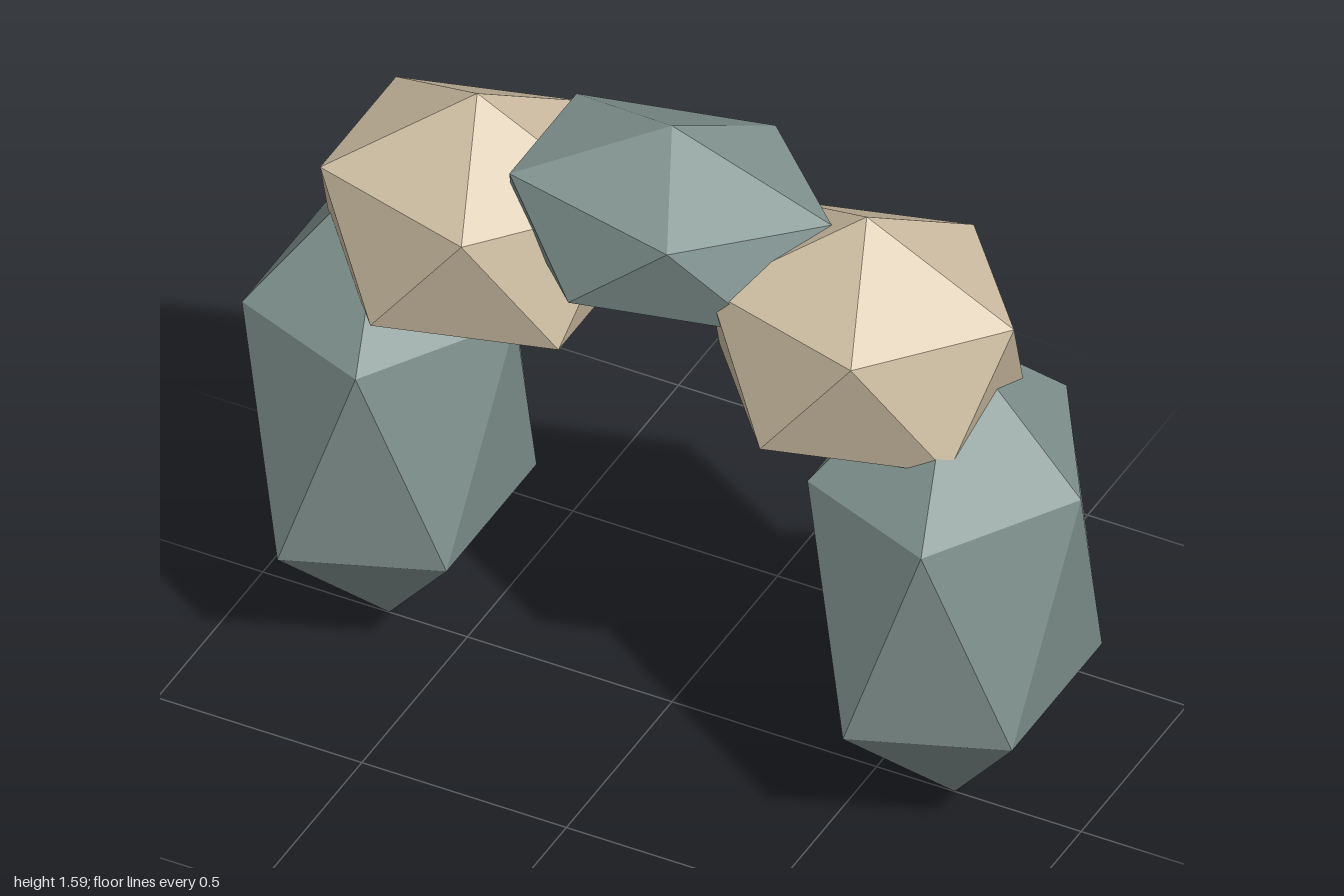
import * as THREE from 'three';

const GOLDEN = (1 + Math.sqrt(5)) / 2;

export function createModel() {
  const slate = new THREE.MeshStandardMaterial({ color: 0x829491 });
  slate.name = 'slateStone';
  const sand = new THREE.MeshStandardMaterial({ color: 0xd0c0a5 });
  sand.name = 'sandStone';

  const arch = new THREE.Group();
  arch.name = 'stoneArch';

  // A stretched icosahedron standing on one tip, its upper ring pointing to +x
  function addStone(name, material, [x, y], [rx, ry, rz]) {
    const ring = 2 / Math.sqrt(5); // ring radius of a unit icosahedron
    const geometry = new THREE.IcosahedronGeometry(1, 0);
    geometry.rotateZ(-Math.atan(1 / GOLDEN));
    geometry.scale(rx / ring, ry, rz / ring);
    geometry.computeVertexNormals();
    const mesh = new THREE.Mesh(geometry, material);
    mesh.name = name;
    mesh.position.set(x, y, 0);
    arch.add(mesh);
  }

  // Pillars and shoulder stones on both sides
  for (const [side, s] of [['left', 1], ['right', -1]]) {
    addStone(side + 'Pillar', slate, [s * 0.691, 0.631], [0.309, 0.631, 0.363]);
    addStone(side + 'Shoulder', sand, [s * 0.476, 1.175], [0.36, 0.33, 0.306]);
  }

  // Keystone across the top
  addStone('keystone', slate, [0, 1.343], [0.39, 0.243, 0.271]);

  return arch;
}
